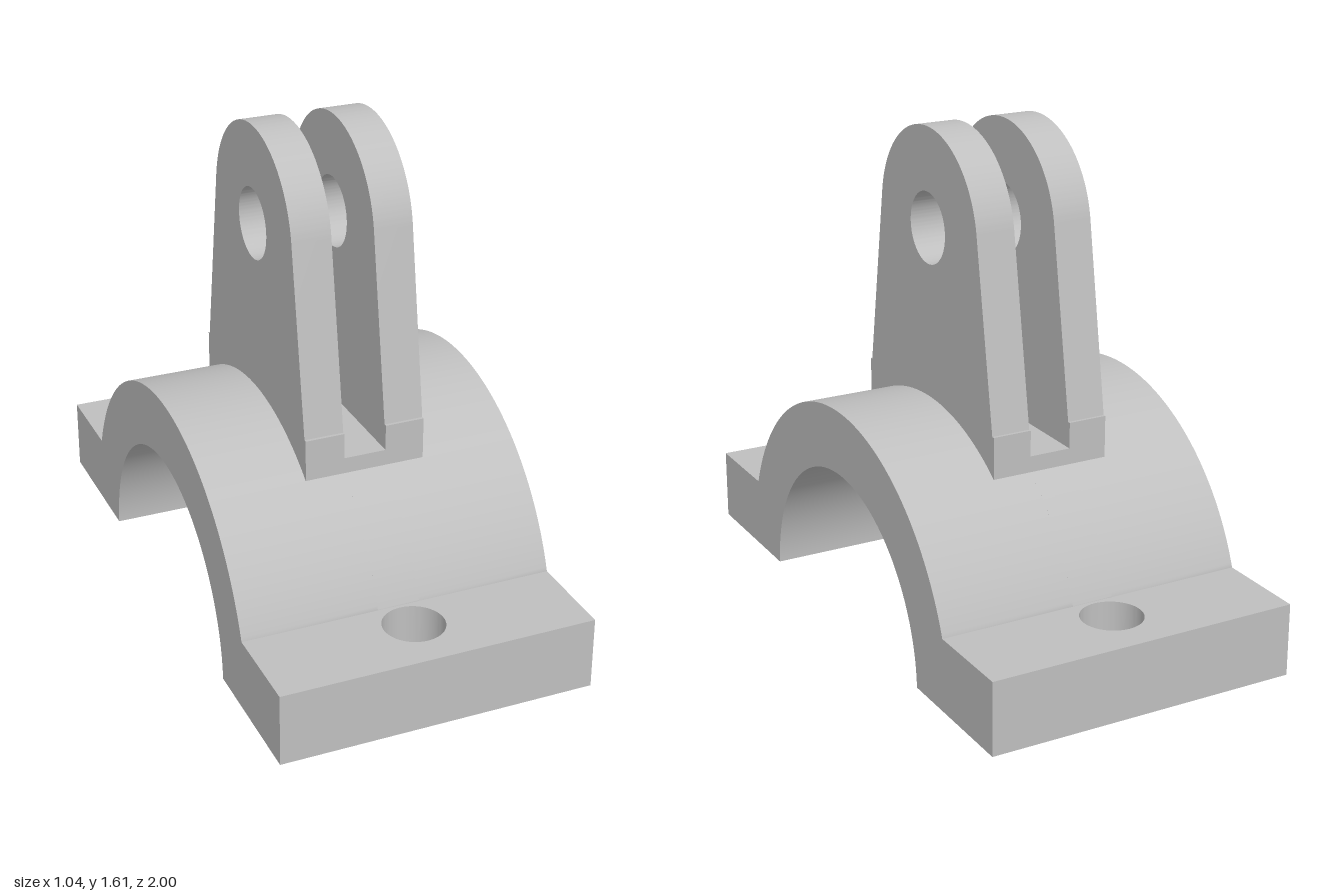
import * as THREE from 'three';
import { toCreasedNormals } from 'three/addons/utils/BufferGeometryUtils.js';

const WIDTH = 1.04;                        // length of the saddle along x
const CY = -0.015, R_OUT = 0.74, R_IN = 0.525;
const FLANGE_H = 0.24, SLOT = 0.07, LUG_X = 0.2;
const BASE_Z = 0.43, BASE_Y = 0.725, SLOT_Y = 0.64;
const outerAngle = (y) => Math.asin((y - CY) / R_OUT);
const FLANGE_Z = R_OUT * Math.cos(outerAngle(FLANGE_H));

// Extrude a (z, y) profile along x, from x0 to x1
function alongX(shape, x0, x1) {
  const geo = new THREE.ExtrudeGeometry(shape, { depth: x1 - x0, bevelEnabled: false, curveSegments: 64 });
  geo.rotateY(Math.PI / 2);
  geo.translate(x0, 0, 0);
  return toCreasedNormals(geo, 0.4);
}

// Half-round saddle section; the notched one carries the floor of the slot
function saddleShape(notched) {
  const a = outerAngle(FLANGE_H);
  const s = new THREE.Shape();
  s.moveTo(R_IN, 0);
  s.lineTo(FLANGE_Z, 0);
  s.lineTo(FLANGE_Z, FLANGE_H);
  if (notched) {
    const b = Math.acos(BASE_Z / R_OUT);
    s.absarc(0, CY, R_OUT, a, b, false);
    s.lineTo(BASE_Z, SLOT_Y);
    s.lineTo(-BASE_Z, SLOT_Y);
    s.absarc(0, CY, R_OUT, Math.PI - b, Math.PI - a, false);
  } else {
    s.absarc(0, CY, R_OUT, a, Math.PI - a, false);
  }
  s.lineTo(-FLANGE_Z, 0);
  s.lineTo(-R_IN, 0);
  const c = Math.asin(-CY / R_IN);
  s.absarc(0, CY, R_IN, Math.PI - c, c, true);
  return s;
}

// Tapered ear with a round top, a stepped foot and a pin hole
function lugShape() {
  const cy = 1.285, r = 0.325, t = 0.161;
  const b = Math.acos(BASE_Z / R_OUT);
  const s = new THREE.Shape();
  s.moveTo(BASE_Z, CY + R_OUT * Math.sin(b));
  s.lineTo(BASE_Z, BASE_Y);
  s.lineTo(0.42, BASE_Y);
  s.absarc(0, cy, r, t, Math.PI - t, false);
  s.lineTo(-0.42, BASE_Y);
  s.lineTo(-BASE_Z, BASE_Y);
  s.absarc(0, CY, R_OUT, Math.PI - b, b, true);
  s.holes.push(new THREE.Path().absarc(0, cy, 0.117, 0, Math.PI * 2, true));
  return s;
}

// Mounting flange with a vertical bolt hole
function flangeGeometry(side) {
  const w = WIDTH / 2, z0 = FLANGE_Z, z1 = 1;
  const s = new THREE.Shape();
  s.moveTo(-w, z0);
  s.lineTo(w, z0);
  s.lineTo(w, z1);
  s.lineTo(-w, z1);
  s.closePath();
  s.holes.push(new THREE.Path().absarc(0, 0.805, 0.099, 0, Math.PI * 2, true));
  const geo = new THREE.ExtrudeGeometry(s, { depth: FLANGE_H, bevelEnabled: false, curveSegments: 40 });
  geo.rotateX(-Math.PI / 2);               // profile now points to -z
  if (side > 0) geo.rotateY(Math.PI);
  return toCreasedNormals(geo, 0.4);
}

export function createModel() {
  const model = new THREE.Group();
  model.name = 'clevisSaddleBracket';
  const grey = new THREE.MeshStandardMaterial({ color: 0xbfbfbf });
  grey.name = 'plainGrey';

  const add = (name, geo) => {
    const mesh = new THREE.Mesh(geo, grey);
    mesh.name = name;
    model.add(mesh);
  };

  // Saddle: two full lengths with the slotted length between them
  add('saddleLeft', alongX(saddleShape(false), SLOT, WIDTH / 2));
  add('saddleRight', alongX(saddleShape(false), -WIDTH / 2, -SLOT));
  add('saddleSlot', alongX(saddleShape(true), -SLOT, SLOT));

  // Pair of ears
  add('lugLeft', alongX(lugShape(), SLOT, LUG_X));
  add('lugRight', alongX(lugShape(), -LUG_X, -SLOT));

  // Flanges front and back
  add('flangeFront', flangeGeometry(1));
  add('flangeBack', flangeGeometry(-1));

  return model;
}
